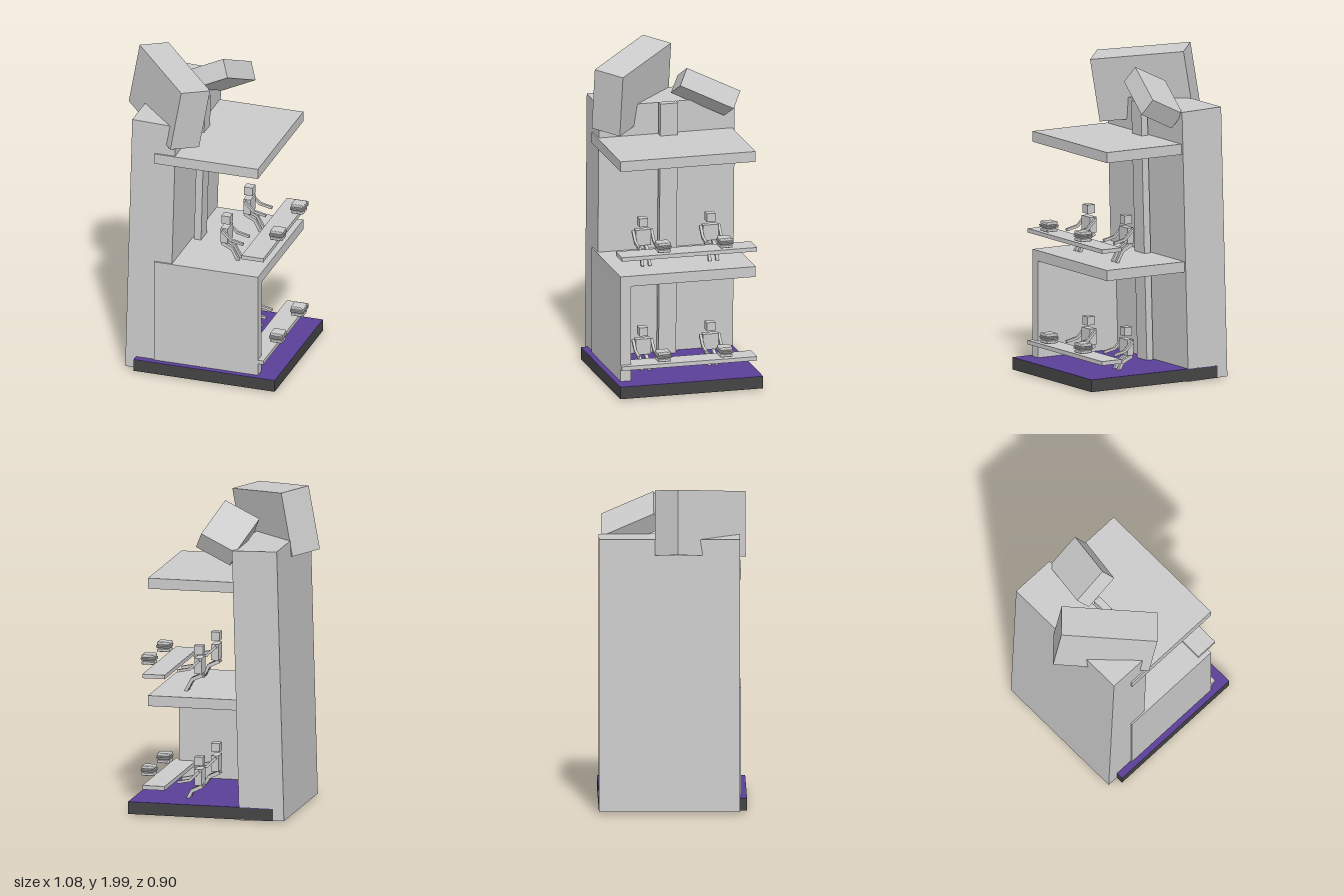
import * as THREE from 'three';
import { RoundedBoxGeometry } from 'three/addons/geometries/RoundedBoxGeometry.js';

const grey = new THREE.MeshStandardMaterial({ color: 0xcccccc, flatShading: true });
const dark = new THREE.MeshStandardMaterial({ color: 0x444444, flatShading: true });
const purple = new THREE.MeshStandardMaterial({ color: 0x5a4098, flatShading: true });

const deg = THREE.MathUtils.degToRad;

// Box given by its size and centre, optionally turned (degrees, x first, z last)
function box(name, size, centre, turn = [0, 0, 0], material = grey) {
  const mesh = new THREE.Mesh(new THREE.BoxGeometry(...size), material);
  mesh.name = name;
  mesh.position.set(...centre);
  mesh.rotation.set(...turn.map(deg), 'ZYX');
  return mesh;
}

// Box given by its x, y and z ranges
function span(name, [x0, x1], [y0, y1], [z0, z1], material = grey) {
  return box(name, [x1 - x0, y1 - y0, z1 - z0],
    [(x0 + x1) / 2, (y0 + y1) / 2, (z0 + z1) / 2], [0, 0, 0], material);
}

// Limb segment between two points of the side profile
function limb(name, [ax, ay], [bx, by], z, thick, wide) {
  const length = Math.hypot(bx - ax, by - ay);
  const angle = THREE.MathUtils.radToDeg(Math.atan2(by - ay, bx - ax));
  return box(name, [length + thick * 0.5, thick, wide], [(ax + bx) / 2, (ay + by) / 2, z], [0, 0, angle]);
}

// Seated figure facing +x, with its feet at y = 0
function figure() {
  const g = new THREE.Group();
  g.name = 'seatedFigure';
  g.add(span('head', [0.122, 0.177], [0.233, 0.286], [-0.027, 0.027]));
  g.add(span('torso', [0.125, 0.17], [0.115, 0.213], [-0.048, 0.048]));
  for (const side of [-1, 1]) {
    g.add(limb('upperArm', [0.14, 0.2], [0.195, 0.147], side * 0.058, 0.016, 0.016));
    g.add(limb('forearm', [0.195, 0.147], [0.27, 0.131], side * 0.058, 0.016, 0.016));
    g.add(limb('thigh', [0.13, 0.104], [0.19, 0.075], side * 0.023, 0.022, 0.02));
    g.add(limb('shin', [0.19, 0.075], [0.228, 0.005], side * 0.023, 0.02, 0.018));
  }
  return g;
}

// Layered sandwich block hovering in front of the counter edge
function sandwich() {
  const g = new THREE.Group();
  g.name = 'sandwich';
  const layers = [
    ['bottomBun', 0.08, 0.018, 0.009],
    ['filling', 0.086, 0.008, 0.028],
    ['leaf', 0.088, 0.007, 0.038],
    ['topBun', 0.08, 0.02, 0.052],
  ];
  for (const [name, width, height, y] of layers) {
    const mesh = new THREE.Mesh(new RoundedBoxGeometry(width, height, width, 2, height * 0.35), grey);
    mesh.name = name;
    mesh.position.y = y;
    g.add(mesh);
  }
  return g;
}

export function createModel() {
  const model = new THREE.Group();
  model.name = 'boothTower';
  const slabX = [-0.245, 0.42], slabZ = [-0.435, 0.415];

  // Base with coloured top
  model.add(span('base', [-0.365, 0.54], [0.01, 0.083], [-0.45, 0.45], dark));
  model.add(span('floor', [-0.365, 0.54], [0.083, 0.086], [-0.45, 0.45], purple));

  // Leaning back tower and the post in front of it
  model.add(box('tower', [0.28, 1.668, 0.855], [-0.272, 0.843, -0.022], [0, 0, -1.55]));
  model.add(box('post', [0.045, 1.674, 0.11], [-0.095, 0.842, -0.02], [0, 0, -1.55]));

  // Slabs and the single side wall
  model.add(span('roof', slabX, [1.41, 1.475], slabZ));
  model.add(span('upperFloor', slabX, [0.682, 0.747], slabZ));
  model.add(span('sideWall', slabX, [0.06, 0.682], [0.35, 0.415]));

  // Counter, sandwiches and figures on each storey
  for (const y of [0.055, 0.745]) {
    model.add(span('counter', [0.315, 0.455], [y + 0.108, y + 0.133], slabZ));
    for (const z of [0.16, -0.23]) {
      const s = sandwich();
      s.position.set(0.462, y + 0.157, z);
      model.add(s);
    }
    for (const z of [0.202, -0.222]) {
      const f = figure();
      f.position.set(0, y, z);
      model.add(f);
    }
  }

  // Tilted blocks on top
  model.add(box('largeTopBlock', [0.588, 0.396, 0.197], [-0.2325, 1.755, 0.1675], [0, -45, -10.2]));
  model.add(box('smallTopBlock', [0.239, 0.119, 0.357], [-0.0325, 1.74, -0.245], [-27.5, 0, 26]));

  return model;
}
